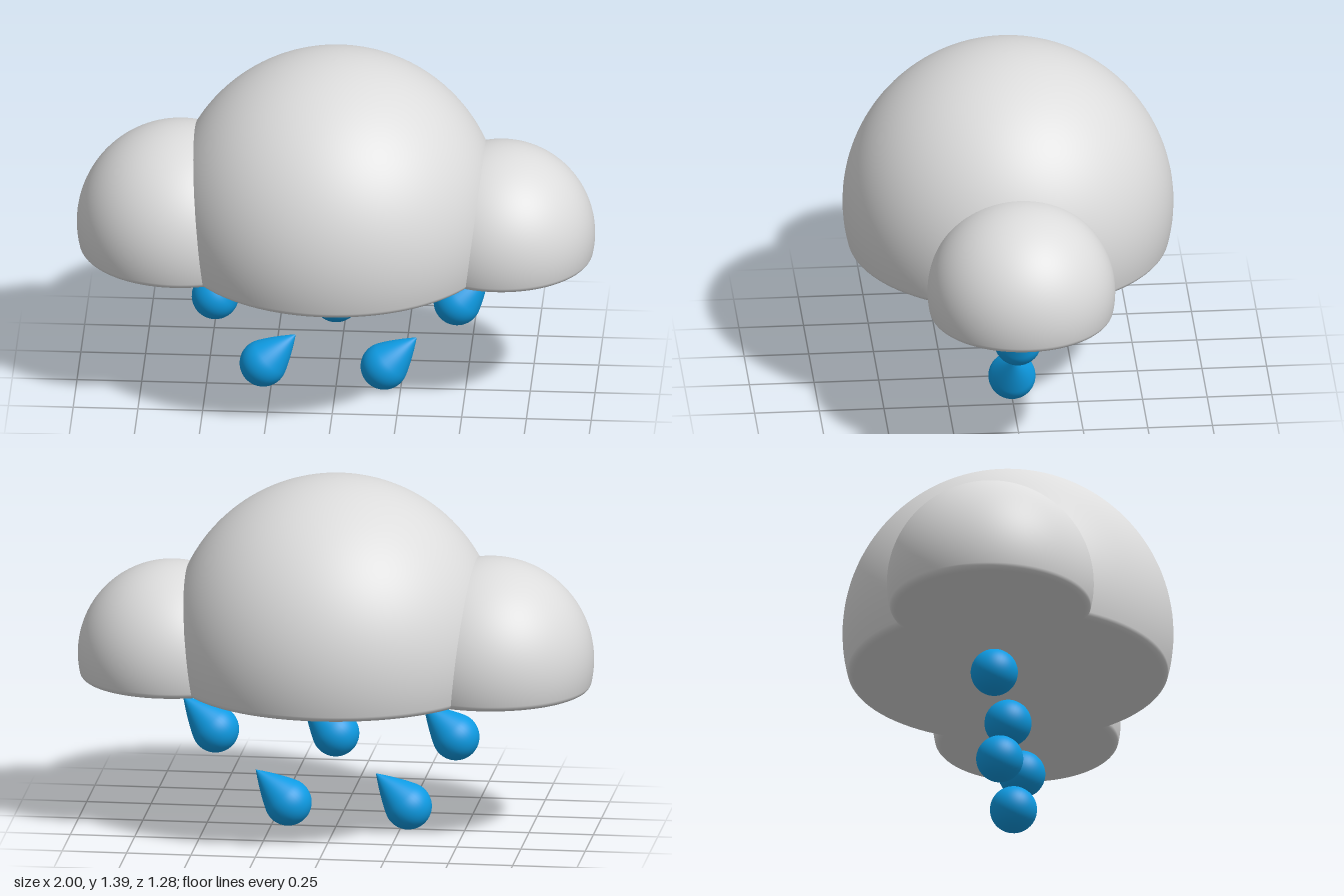
import * as THREE from 'three';

const BASE_Y = 0.575; // flat underside of the cloud
const FILLET = 0.03; // soft rounding along the bottom edge

// Sphere cut flat at BASE_Y with a rounded lower edge
function puffGeometry(radius, centerY) {
  const low = BASE_Y + FILLET - centerY;
  const edgeX = Math.sqrt((radius - FILLET) ** 2 - low ** 2);
  const joinAngle = Math.atan2(low, edgeX);
  const points = [new THREE.Vector2(0, BASE_Y - centerY), new THREE.Vector2(edgeX - 0.004, BASE_Y - centerY)];
  for (let i = 0; i < 8; i++) {
    const a = THREE.MathUtils.lerp(-Math.PI / 2, joinAngle, i / 8);
    points.push(new THREE.Vector2(edgeX + FILLET * Math.cos(a), low + FILLET * Math.sin(a)));
  }
  for (let i = 0; i <= 40; i++) {
    const a = THREE.MathUtils.lerp(joinAngle, Math.PI / 2, i / 40);
    points.push(new THREE.Vector2(Math.max(0, radius * Math.cos(a)), radius * Math.sin(a)));
  }
  return new THREE.LatheGeometry(points, 96);
}

// Round belly that narrows in a slight curve to a sharp tip
function dropGeometry() {
  const r = 0.091, tip = 0.178, join = THREE.MathUtils.degToRad(25);
  const points = [];
  for (let i = 0; i < 24; i++) {
    const a = THREE.MathUtils.lerp(-Math.PI / 2, join, i / 24);
    points.push(new THREE.Vector2(Math.max(0, r * Math.cos(a)), r * Math.sin(a)));
  }
  const start = new THREE.Vector2(r * Math.cos(join), r * Math.sin(join));
  const control = new THREE.Vector2(start.x - 0.07 * Math.sin(join), start.y + 0.07 * Math.cos(join));
  points.push(...new THREE.QuadraticBezierCurve(start, control, new THREE.Vector2(0, tip)).getPoints(14));
  return new THREE.LatheGeometry(points, 40);
}

export function createModel() {
  const model = new THREE.Group();
  const cloudGrey = new THREE.MeshStandardMaterial({ color: 0xdcdcdc });
  cloudGrey.name = 'cloud grey';
  const rainBlue = new THREE.MeshStandardMaterial({ color: 0x0e9be3 });
  rainBlue.name = 'rain blue';

  // Cloud: three overlapping puffs on one flat base
  const cloud = new THREE.Group();
  cloud.name = 'cloud';
  for (const [name, x, y, radius] of [
    ['middlePuff', 0, 0.752, 0.638],
    ['rightPuff', -0.601, 0.688, 0.399],
    ['leftPuff', 0.638, 0.674, 0.362],
  ]) {
    const puff = new THREE.Mesh(puffGeometry(radius, y), cloudGrey);
    puff.name = name;
    puff.position.set(x, y, 0);
    cloud.add(puff);
  }
  model.add(cloud);

  // Rain: a row of three drops above a row of two, all slanted
  const rain = new THREE.Group();
  rain.name = 'rain';
  const geometry = dropGeometry();
  for (const [row, y, xs] of [
    ['upper', 0.374, [-0.466, 0.001, 0.468]],
    ['lower', 0.092, [-0.281, 0.186]],
  ]) {
    xs.forEach((x, i) => {
      const drop = new THREE.Mesh(geometry, rainBlue);
      drop.name = `${row}Raindrop${i + 1}`;
      drop.position.set(x, y, 0);
      drop.rotation.z = -Math.PI / 4;
      rain.add(drop);
    });
  }
  model.add(rain);
  return model;
}
